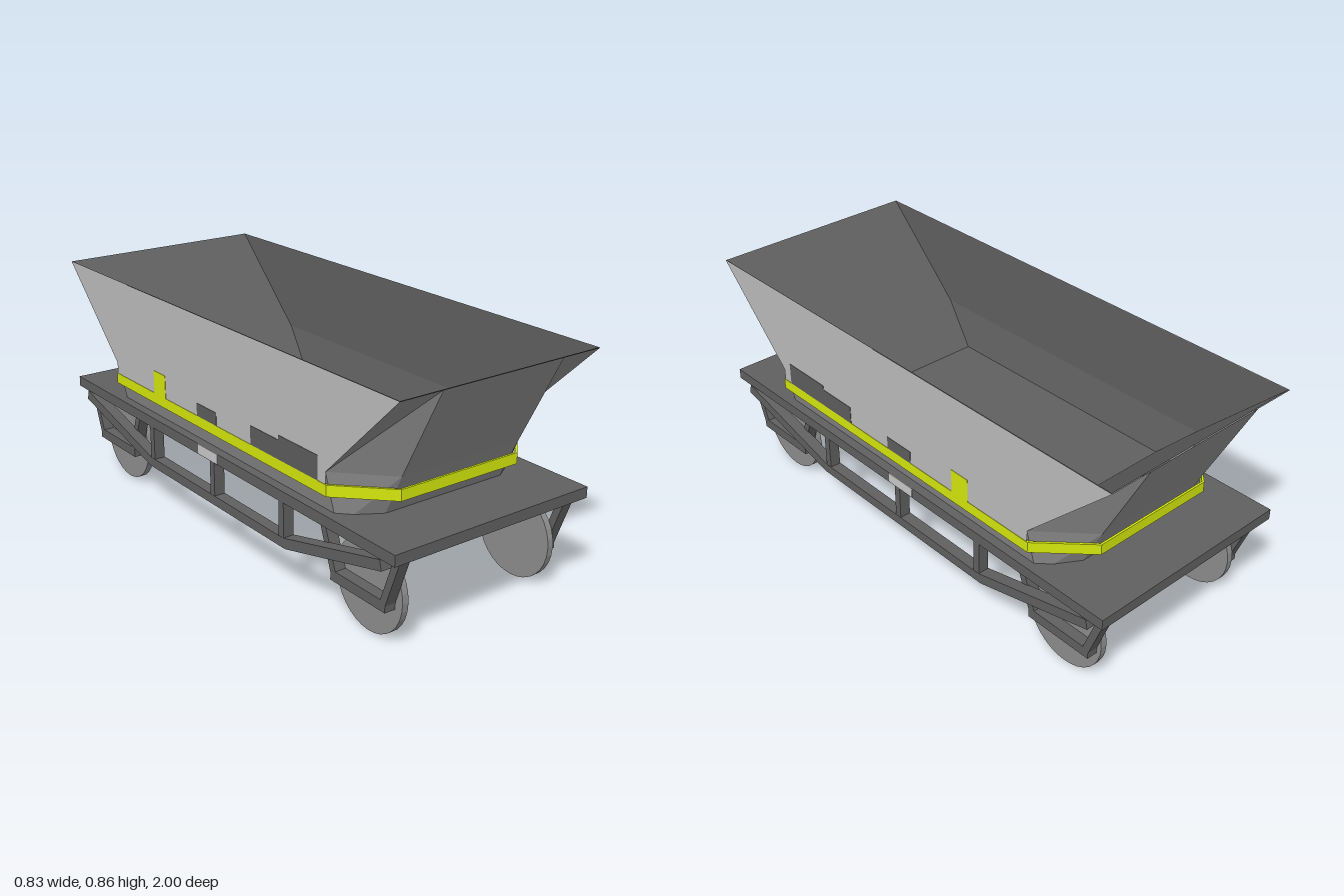
import * as THREE from 'three';

const material = (name, color, side = THREE.FrontSide) => {
  const m = new THREE.MeshStandardMaterial({ color, side });
  m.name = name;
  return m;
};

export function createModel() {
  const wagon = new THREE.Group();
  wagon.name = 'hopperWagon';
  const darkGrey = material('darkGrey', 0x606060, THREE.DoubleSide);
  const lightGrey = material('lightGrey', 0xbcbcbc, THREE.DoubleSide);
  const midGrey = material('midGrey', 0x8d8d8d, THREE.DoubleSide);
  const panelGrey = material('panelGrey', 0x5d5d5d);
  const plateGrey = material('plateGrey', 0xcacaca);
  const yellow = material('yellow', 0xd5e80c);

  const add = (name, geometry, mat, parent = wagon) => {
    const mesh = new THREE.Mesh(geometry, mat);
    mesh.name = name;
    parent.add(mesh);
    return mesh;
  };
  const box = (name, mat, x0, x1, y0, y1, z0, z1, parent) => {
    const mesh = add(name, new THREE.BoxGeometry(x1 - x0, y1 - y0, z1 - z0), mat, parent);
    mesh.position.set((x0 + x1) / 2, (y0 + y1) / 2, (z0 + z1) / 2);
  };
  // Straight bar in a plane of constant x, between two [z, y] points
  const bar = (name, x, width, [za, ya], [zb, yb], thick, parent) => {
    const dz = zb - za, dy = yb - ya;
    const mesh = add(name, new THREE.BoxGeometry(width, thick, Math.hypot(dz, dy)), darkGrey, parent);
    mesh.position.set(x, (ya + yb) / 2, (za + zb) / 2);
    mesh.rotation.x = -Math.atan2(dy, dz);
  };
  // Polygons of one quarter, mirrored to all four
  const mirroredFaces = (polygons) => {
    const pos = [];
    for (const sx of [1, -1]) for (const sz of [1, -1]) {
      for (const poly of polygons) {
        const p = poly.map(([x, y, z]) => [x * sx, y, z * sz]);
        if (sx * sz < 0) p.reverse();
        for (let i = 1; i < p.length - 1; i++) pos.push(...p[0], ...p[i], ...p[i + 1]);
      }
    }
    const g = new THREE.BufferGeometry();
    g.setAttribute('position', new THREE.Float32BufferAttribute(pos, 3));
    g.computeVertexNormals();
    return g;
  };
  // The same point on the middle plane of an axis (0 = x, 2 = z)
  const mid = (p, axis) => p.map((v, i) => (i === axis ? 0 : v));

  box('deck', darkGrey, -0.414, 0.414, 0.34, 0.38, -0.996, 0.996);

  // Outer hopper corners in the +x +z quarter; the foot passes through the deck
  const rim = [0.414, 0.861, 1], waist = [0.414, 0.53, 0.66], skirt = [0.414, 0.487, 0.66];
  const endTop = [0.25, 0.861, 1], endWaist = [0.25, 0.53, 0.83];
  const footSide = [0.367, 0.325, 0.66], footEnd = [0.25, 0.325, 0.73];

  add('hopperSides', mirroredFaces([
    [mid(rim, 2), rim, waist, skirt, mid(skirt, 2)],
  ]), lightGrey);
  add('hopperEndsAndFoot', mirroredFaces([
    [mid(waist, 2), waist, footSide, mid(footSide, 2)],
    [endTop, waist, rim],
    [endTop, endWaist, waist],
    [endWaist, footEnd, footSide],
    [endWaist, footSide, waist],
    [mid(endTop, 0), mid(endWaist, 0), endWaist, endTop],
    [mid(endWaist, 0), mid(footEnd, 0), footEnd, endWaist],
  ]), midGrey);
  add('hopperBottom', mirroredFaces([
    [[0, 0.325, 0], mid(footSide, 2), footSide, footEnd, mid(footEnd, 0)],
  ]), darkGrey);

  // Lining just inside the hopper walls
  const liningRim = [0.411, 0.861, 0.996], liningWaist = [0.411, 0.53, 0.656];
  const floorCorner = [0.378, 0.385, 0.511];
  add('hopperInside', mirroredFaces([
    [mid(liningRim, 0), liningRim, liningWaist, floorCorner, mid(floorCorner, 0)],
    [mid(liningWaist, 2), liningWaist, liningRim, mid(liningRim, 2)],
    [mid(liningWaist, 2), mid(floorCorner, 2), floorCorner, liningWaist],
    [[0, 0.385, 0], mid(floorCorner, 0), floorCorner, mid(floorCorner, 2)],
  ]), darkGrey);

  // Yellow band around the hopper
  const octagon = (inset) => {
    const w = 0.4155 - inset, l = 0.83 - inset, c = 0.25 - inset * 0.4, s = 0.665 - inset * 0.4;
    return [[w, -s], [w, s], [c, l], [-c, l], [-w, s], [-w, -s], [-c, -l], [c, -l]]
      .map(([x, y]) => new THREE.Vector2(x, y));
  };
  const bandShape = new THREE.Shape(octagon(0));
  bandShape.holes.push(new THREE.Path(octagon(0.008).reverse()));
  const band = new THREE.ExtrudeGeometry(bandShape, { depth: 0.04, bevelEnabled: false });
  band.rotateX(-Math.PI / 2).translate(0, 0.447, 0);
  add('band', band, yellow);

  for (const s of [1, -1]) {
    const side = new THREE.Group();
    side.name = s > 0 ? 'leftSide' : 'rightSide';
    wagon.add(side);

    // Thin plates on the hopper wall and the deck edge
    const plate = (name, mat, y0, y1, z0, z1) => {
      const x = s * 0.4145;
      box(name, mat, x - 0.001, x + 0.001, y0, y1, z0, z1, side);
    };
    plate('longPanel', panelGrey, 0.487, 0.572, 0.41, 0.62);
    plate('mediumPanel', panelGrey, 0.487, 0.555, 0.25, 0.41);
    plate('smallPanel', panelGrey, 0.487, 0.535, -0.085, 0.04);
    plate('yellowPanel', yellow, 0.487, 0.575, -0.38, -0.3);
    plate('deckPlate', plateGrey, 0.343, 0.38, -0.085, 0.04);

    // Truss under the deck edge
    const tx = s * 0.391;
    bar('trussBottom', tx, 0.044, [-0.44, 0.193], [0.44, 0.193], 0.036, side);
    for (const e of [1, -1]) {
      bar('trussDiagonal', tx, 0.044, [e * 0.93, 0.319], [e * 0.435, 0.193], 0.038, side);
    }
    for (const z of [-0.418, 0, 0.418]) {
      bar('trussPost', tx, 0.042, [z, 0.2], [z, 0.345], 0.027, side);
    }

    // Wheel hangers and wheels
    for (const e of [1, -1]) {
      const hx = s * 0.352;
      bar('hangerBase', hx, 0.042, [e * 0.635, 0.152], [e * 0.908, 0.152], 0.038, side);
      bar('hangerArm', hx, 0.042, [e * 0.963, 0.345], [e * 0.895, 0.16], 0.027, side);
      bar('hangerArm', hx, 0.042, [e * 0.583, 0.345], [e * 0.65, 0.16], 0.027, side);
      const disc = new THREE.CylinderGeometry(0.163, 0.163, 0.024, 32).rotateZ(Math.PI / 2).toNonIndexed();
      disc.computeVertexNormals();
      const wheel = add('wheel', disc, midGrey, side);
      wheel.position.set(s * 0.318, 0.163, e > 0 ? 0.778 : -0.763);
    }
  }
  return wagon;
}
